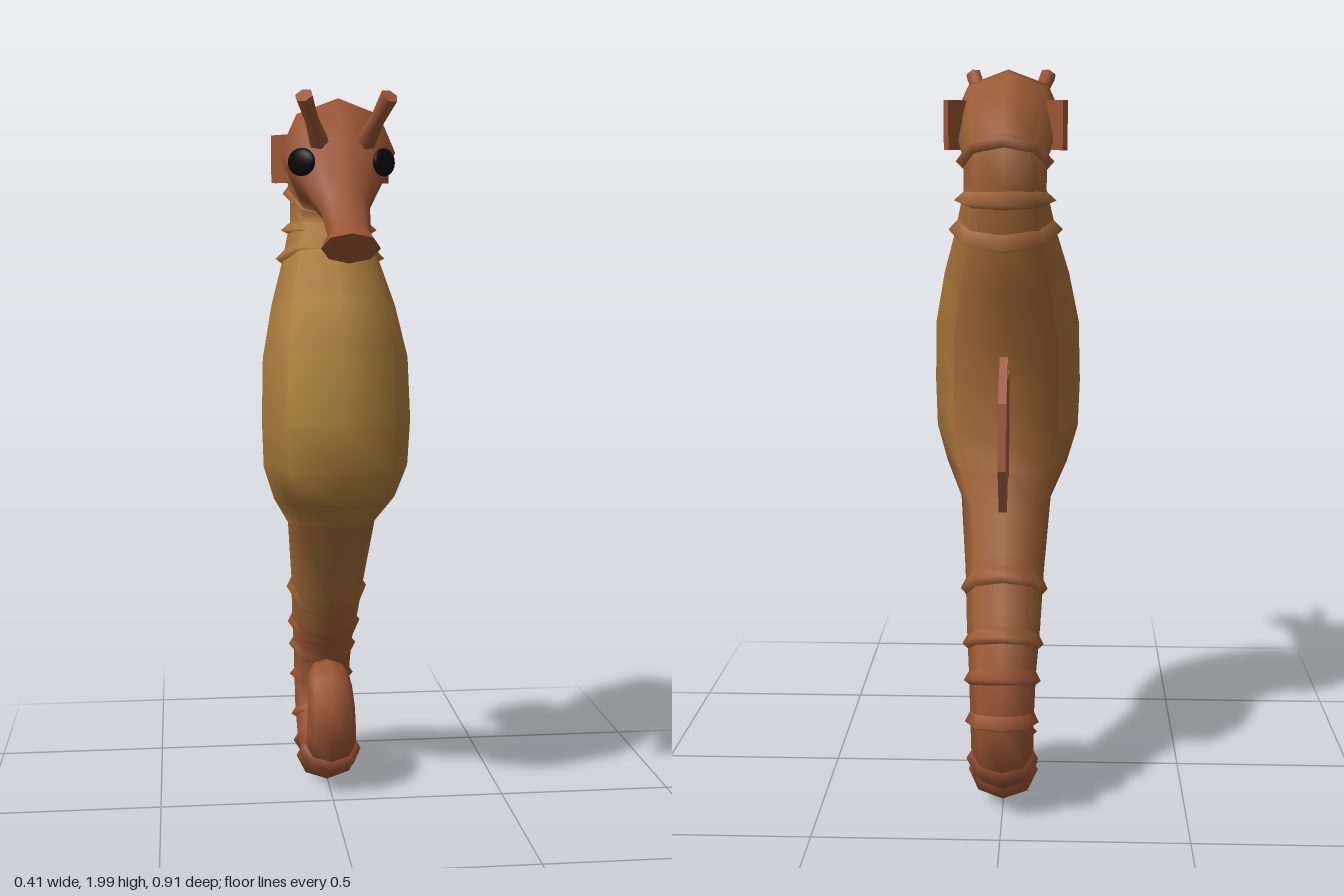
import * as THREE from 'three';

const SIDES = 8;
const BROWN = new THREE.Color(0x9a5434), OCHRE = new THREE.Color(0xb08a3e);
const LEVELS = 10;
const mat = (color) => new THREE.MeshStandardMaterial({ color });
const palette = Array.from({ length: LEVELS + 1 }, (_, i) => mat(BROWN.clone().lerp(OCHRE, i / LEVELS)));

// Cross-sections from snout to tail: [back z, back y, belly z, belly y, half width]
const TRUNK = [
  [0.455, 1.64, 0.39, 1.565, 0.075],
  [0.41, 1.668, 0.365, 1.6, 0.055],
  [0.29, 1.76, 0.275, 1.645, 0.065],
  [0.25, 1.88, 0.17, 1.69, 0.115],
  [0.12, 1.99, 0.09, 1.71, 0.155],
  [-0.02, 1.98, 0.03, 1.71, 0.145],
  [-0.11, 1.92, 0.0, 1.695, 0.13],
  [-0.225, 1.81, -0.01, 1.685, 0.11],
  [-0.235, 1.68, -0.005, 1.665, 0.11],
  [-0.225, 1.52, 0.08, 1.61, 0.135],
  [-0.19, 1.4, 0.19, 1.48, 0.172],
  [-0.14, 1.26, 0.255, 1.34, 0.2],
  [-0.115, 1.13, 0.275, 1.13, 0.205],
  [-0.12, 1.0, 0.25, 1.0, 0.2],
  [-0.14, 0.9, 0.2, 0.91, 0.17],
  [-0.19, 0.81, 0.08, 0.83, 0.125],
  [-0.25, 0.7, -0.07, 0.57, 0.108],
  [-0.33, 0.56, -0.16, 0.45, 0.1],
  [-0.4, 0.43, -0.24, 0.36, 0.09],
];

// The curled tail is a tightening, tapering spiral
const COIL_STEPS = 16;
const COIL = Array.from({ length: COIL_STEPS + 1 }, (_, i) => {
  const u = i / COIL_STEPS, deg = 173 + 515 * u, a = THREE.MathUtils.degToRad(deg);
  const r = 0.181 - 0.125 * THREE.MathUtils.smoothstep(deg, 173, 570);
  const half = 0.078 - 0.066 * u;
  const at = (d) => [-0.175 + d * Math.cos(a), 0.253 + d * Math.sin(a)];
  return [...at(r + half), ...at(r - half), 0.085 - 0.07 * u ** 1.5];
});

// Each section also gets an ochre amount that peaks at mid belly
const SECTIONS = [...TRUNK, ...COIL].map((s, i) => [...s, Math.max(0, 1 - Math.abs(i - 11.5) / 7)]);

// Section at a fractional position along the body
function sectionAt(t) {
  const i = Math.floor(t), f = t - i;
  return SECTIONS[i].map((v, k) => v + (SECTIONS[i + 1][k] - v) * f);
}

// Section pushed outward at the back and sides only
function swell([bz, by, fz, fy, w, c], back, side) {
  const k = 1 + back / Math.hypot(bz - fz, by - fy);
  return [fz + (bz - fz) * k, fy + (by - fy) * k, fz, fy, w + side, c];
}

// Smooth skin over the sections, tinted towards ochre on the belly side
function loft(name, sections) {
  const pos = [], buckets = palette.map(() => []);
  const addRing = ([bz, by, fz, fy, w]) => {
    for (let j = 0; j < SIDES; j++) {
      const a = (j / SIDES) * Math.PI * 2, c = Math.cos(a) / 2;
      pos.push(w * Math.sin(a), (by + fy) / 2 + (by - fy) * c, (bz + fz) / 2 + (bz - fz) * c);
    }
  };
  sections.forEach(addRing);
  for (let i = 0; i < sections.length - 1; i++) {
    for (let j = 0; j < SIDES; j++) {
      const a = i * SIDES + j, b = i * SIDES + ((j + 1) % SIDES);
      const belly = 0.5 - Math.cos(((j + 0.5) / SIDES) * Math.PI * 2) / 2;
      const tint = ((sections[i][5] + sections[i + 1][5]) / 2) * (0.35 + 0.65 * belly);
      buckets[Math.round(tint * LEVELS)].push(a, b, a + SIDES, b, b + SIDES, a + SIDES);
    }
  }
  // End caps with their own rim so the edges stay sharp
  [sections[0], sections[sections.length - 1]].forEach((s, end) => {
    const base = pos.length / 3;
    addRing(s);
    pos.push(0, (s[1] + s[3]) / 2, (s[0] + s[2]) / 2);
    for (let j = 0; j < SIDES; j++) {
      const a = base + j, b = base + ((j + 1) % SIDES);
      buckets[Math.round(s[5] * 0.5 * LEVELS)].push(base + SIDES, ...(end ? [a, b] : [b, a]));
    }
  });
  const geo = new THREE.BufferGeometry();
  geo.setAttribute('position', new THREE.Float32BufferAttribute(pos, 3));
  geo.setIndex(buckets.flat());
  let start = 0;
  buckets.forEach((b, i) => {
    if (b.length) geo.addGroup(start, b.length, i);
    start += b.length;
  });
  geo.computeVertexNormals();
  const mesh = new THREE.Mesh(geo, palette);
  mesh.name = name;
  return mesh;
}

export function createModel() {
  const model = new THREE.Group();
  model.name = 'seahorse';
  const add = (name, geo, material) => {
    const mesh = new THREE.Mesh(geo, material);
    mesh.name = name;
    model.add(mesh);
    return mesh;
  };

  model.add(loft('body', SECTIONS));

  // Bony ridges on the neck and along the tail
  for (const t of [7.1, 8.25, 8.95, 16.35, 17.4, 18.15, 19, 20.2, 21.1, 22, 23.2]) {
    const neck = t < 10;
    model.add(loft(neck ? 'neckRidge' : 'tailRidge', [
      swell(sectionAt(t - 0.22), -0.002, -0.002),
      swell(sectionAt(t), neck ? 0.03 : 0.024, neck ? 0.02 : 0.014),
      swell(sectionAt(t + 0.1), -0.002, -0.002),
    ]));
  }

  // Dorsal fin: outline in (-z, y)
  const fin = new THREE.Shape([
    [0.08, 1.2], [0.12, 1.19], [0.185, 1.165], [0.215, 1.24], [0.33, 1.135],
    [0.355, 0.96], [0.29, 0.835], [0.22, 0.915], [0.14, 0.895], [0.08, 0.92],
  ].map(([u, v]) => new THREE.Vector2(u, v)));
  const finGeo = new THREE.ExtrudeGeometry(fin, { depth: 0.022, bevelEnabled: false });
  finGeo.translate(0, 0, -0.011).rotateY(Math.PI / 2);
  add('dorsalFin', finGeo, mat(0xa05c3e));

  const up = new THREE.Vector3(0, 1, 0);
  for (const s of [1, -1]) {
    const side = s > 0 ? 'left' : 'right';

    // Flat oval eyes
    const eye = add(side + 'Eye', new THREE.SphereGeometry(1, 16, 10), mat(0x080808));
    eye.scale.set(0.048, 0.036, 0.018);
    eye.position.set(s * 0.107, 1.82, 0.235);
    eye.rotation.y = s * 0.9;

    // Horns, narrow at the middle and flaring to a blunt tip
    const from = new THREE.Vector3(s * 0.06, 1.87, 0.225), to = new THREE.Vector3(s * 0.108, 1.98, 0.325);
    const dir = to.clone().sub(from);
    const horn = add(side + 'Horn', new THREE.CylinderGeometry(0.024, 0.028, dir.length(), 6, 2), mat(BROWN));
    const p = horn.geometry.attributes.position;
    for (let i = 0; i < p.count; i++) {
      if (Math.abs(p.getY(i)) < 0.01) p.setXYZ(i, p.getX(i) * 0.75, p.getY(i), p.getZ(i) * 0.75);
    }
    horn.position.copy(from).addScaledVector(dir, 0.5);
    horn.quaternion.setFromUnitVectors(up, dir.normalize());

    // Gill plates standing off behind the cheeks
    const gill = add(side + 'GillPlate', new THREE.BoxGeometry(0.1, 0.13, 0.016), mat(BROWN));
    gill.position.set(s * 0.128, 1.84, -0.055);
    gill.rotation.y = s * 0.93;
  }
  return model;
}
